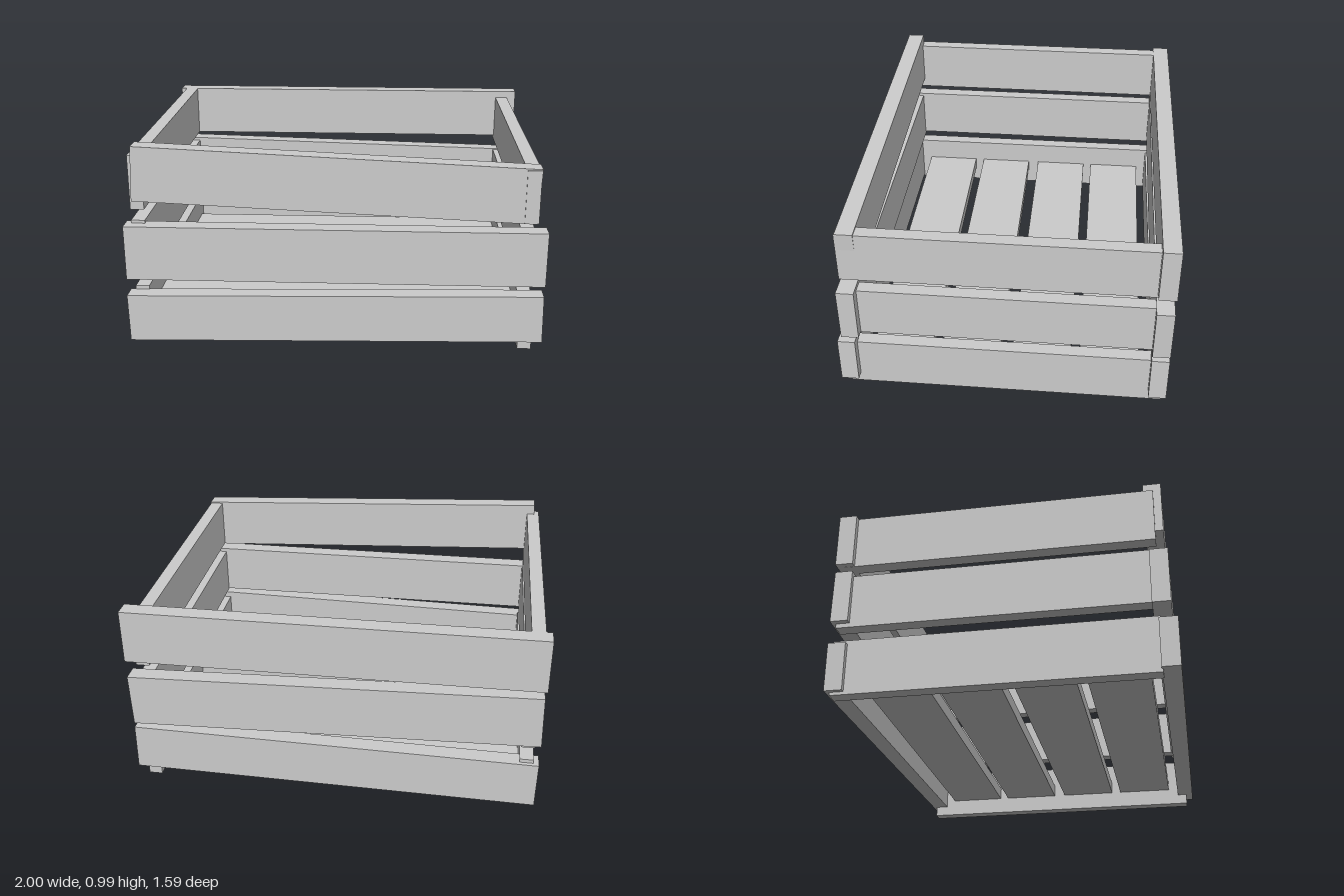
import * as THREE from 'three';

const material = new THREE.MeshStandardMaterial({ color: 0xcccccc, flatShading: true });

function plank(name, size, position, tilt = 0) {
  const mesh = new THREE.Mesh(new THREE.BoxGeometry(...size), material);
  mesh.name = name;
  mesh.position.set(...position);
  mesh.rotation.z = tilt;
  return mesh;
}

export function createModel() {
  const crate = new THREE.Group();
  crate.name = 'crate';

  // Front and back slats, nailed on slightly crooked: length, height, y, z, tilt
  const longSlats = {
    frontSlat: [
      [1.99, 0.236, 0.155, 0.755, 0.0175],
      [2, 0.27, 0.465, 0.73, 0],
      [1.9, 0.267, 0.815, 0.715, -0.044],
    ],
    backSlat: [
      [1.99, 0.236, 0.155, -0.747, 0.0175],
      [1.99, 0.267, 0.475, -0.747, -0.026],
      [2, 0.268, 0.805, -0.747, 0],
    ],
  };
  for (const [name, slats] of Object.entries(longSlats)) {
    slats.forEach(([length, height, y, z, tilt], i) =>
      crate.add(plank(name + (i + 1), [length, height, 0.085], [0, y, z], tilt)));
  }

  // Side slats: bottom and top heights of each row
  const sides = [
    { name: 'leftSlat', x: 0.918, zFront: 0.762, rows: [[0, 0.256], [0.325, 0.58], [0.646, 0.902]] },
    { name: 'rightSlat', x: -0.938, zFront: 0.72, rows: [[0.005, 0.275], [0.345, 0.615], [0.67, 0.937]] },
  ];
  const zBack = -0.77;
  for (const { name, x, zFront, rows } of sides) {
    rows.forEach(([low, high], i) =>
      crate.add(plank(name + (i + 1), [0.066, high - low, zFront - zBack],
        [x, (low + high) / 2, (zFront + zBack) / 2])));
  }

  // Floor boards spanning between the lowest side slats
  [-0.51, -0.175, 0.175, 0.515].forEach((z, i) =>
    crate.add(plank('floorBoard' + (i + 1), [1.8, 0.065, 0.29], [-0.01, 0.12, z])));

  return crate;
}
